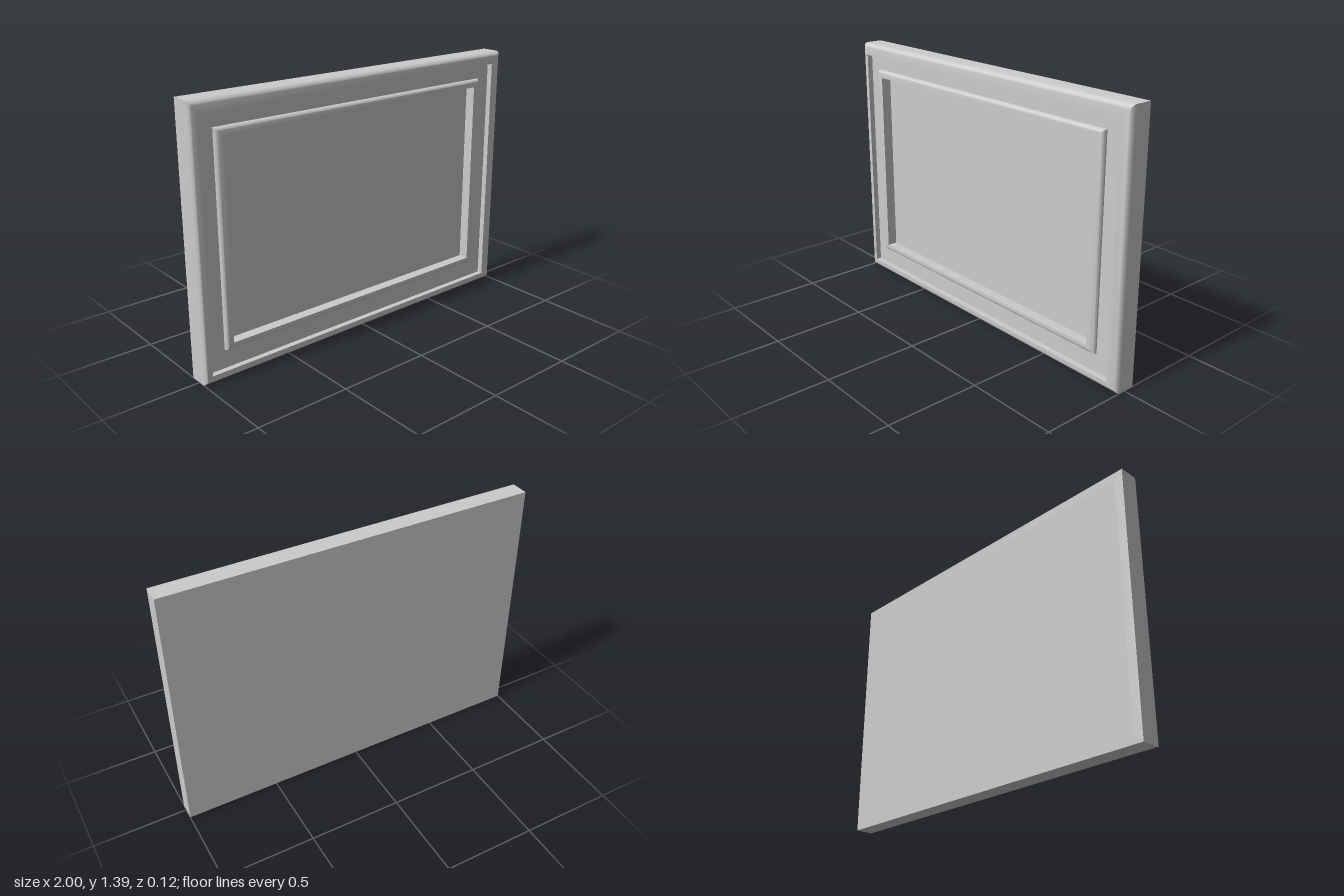
import * as THREE from 'three';
import { toCreasedNormals } from 'three/addons/utils/BufferGeometryUtils.js';

const material = new THREE.MeshStandardMaterial({ color: 0xcccccc });

// Mitred rectangular moulding: each step is [left, right, bottom, top, z],
// listed from the back outer edge, over the front, to the opening.
function moulding(name, steps) {
  const position = [], index = [];
  for (const [l, r, b, t, z] of steps) position.push(l, b, z, r, b, z, r, t, z, l, t, z);
  for (let s = 0; s < steps.length - 1; s++) {
    for (let k = 0; k < 4; k++) {
      const a = s * 4 + k, b = s * 4 + (k + 1) % 4;
      index.push(a, b, b + 4, a, b + 4, a + 4);
    }
  }
  const geometry = new THREE.BufferGeometry();
  geometry.setAttribute('position', new THREE.Float32BufferAttribute(position, 3));
  geometry.setIndex(index);
  const mesh = new THREE.Mesh(toCreasedNormals(geometry, 0.6), material);
  mesh.name = name;
  return mesh;
}

// Quarter-round steps on the outer front edge of a rectangle
function roundOver([l, r, b, t], rx, ry, rz, front, n = 6) {
  const steps = [];
  for (let i = 0; i <= n; i++) {
    const a = (i / n) * Math.PI / 2;
    const dx = rx * (1 - Math.cos(a)), dy = ry * (1 - Math.cos(a));
    steps.push([l + dx, r - dx, b + dy, t - dy, front - rz * (1 - Math.sin(a))]);
  }
  return steps;
}

export function createModel() {
  const group = new THREE.Group();
  group.name = 'pictureFrame';

  const back = -0.06, front = 0.06, matZ = 0.03, pictureZ = 0;
  const outer = [-1, 1, 0, 1.39];
  const outerOpening = [-0.96, 0.935, 0.045, 1.325];
  const inner = [-0.87, 0.845, 0.145, 1.25];
  const innerOpening = [-0.83, 0.8, 0.18, 1.21];
  const board = [-0.95, 0.95, 0.05, 1.34];

  // Outer frame with rounded front edges
  group.add(moulding('outerFrame', [
    [...board, back],
    [...outer, back],
    ...roundOver(outer, 0.018, 0.03, 0.03, front),
    [...outerOpening, front],
    [...outerOpening, matZ],
  ]));

  // Flat mat between the two frames
  group.add(moulding('mat', [[...outerOpening, matZ], [...inner, matZ]]));

  // Raised inner frame
  group.add(moulding('innerFrame', [
    [...inner, matZ],
    ...roundOver(inner, 0.02, 0.02, 0.02, 0.056),
    [...innerOpening, 0.056],
    [...innerOpening, pictureZ],
  ]));

  // Backing board whose front is the recessed picture panel
  const panel = new THREE.Mesh(
    new THREE.BoxGeometry(board[1] - board[0], board[3] - board[2], pictureZ - back), material);
  panel.position.set(0, (board[2] + board[3]) / 2, (pictureZ + back) / 2);
  panel.name = 'picturePanel';
  group.add(panel);

  return group;
}
